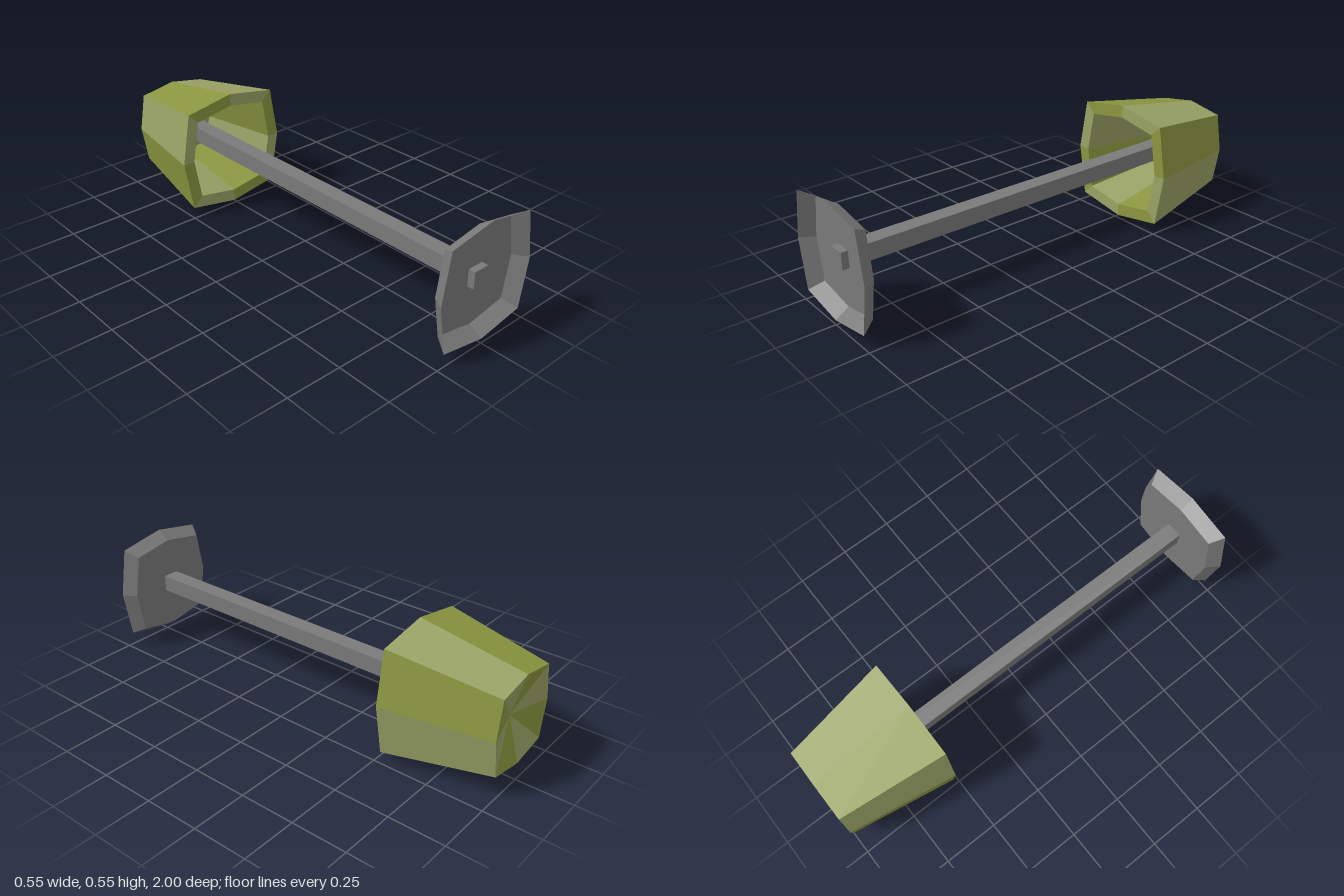
import * as THREE from 'three';

const AXIS_Y = 0.277; // height of the lamp's long axis

const mat = (name, color, side = THREE.FrontSide) => {
  const m = new THREE.MeshStandardMaterial({ color, side, flatShading: true });
  m.name = name;
  return m;
};

// Point on a bulged square: eight corners, radius r at the mid-sides
function ringPoint(i, r, z) {
  const a = (i % 8) * Math.PI / 4;
  const k = i % 2 ? 0.852 * Math.SQRT2 : 1;
  return [Math.cos(a) * r * k, Math.sin(a) * r * k, z];
}

// Sweep a [radius, z] profile around the eight sides, keeping only the sides listed
function loft(profile, sides) {
  const pos = [];
  for (const i of sides) {
    for (let s = 0; s < profile.length - 1; s++) {
      const [ra, za] = profile[s], [rb, zb] = profile[s + 1];
      const a0 = ringPoint(i, ra, za), a1 = ringPoint(i + 1, ra, za);
      const b0 = ringPoint(i, rb, zb), b1 = ringPoint(i + 1, rb, zb);
      if (rb > 0) pos.push(...a0, ...b0, ...b1);
      if (ra > 0) pos.push(...a0, ...b1, ...a1);
    }
  }
  const g = new THREE.BufferGeometry();
  g.setAttribute('position', new THREE.Float32BufferAttribute(pos, 3));
  g.computeVertexNormals();
  return g;
}

export function createModel() {
  const olive = mat('olive', 0x8a9640);
  const paleOlive = mat('paleOlive', 0x9aa366);
  const grey = mat('grey', 0x7a7a7a, THREE.DoubleSide);

  const lamp = new THREE.Group();
  lamp.name = 'lamp';
  const add = (name, geometry, material) => {
    const mesh = new THREE.Mesh(geometry, material);
    mesh.name = name;
    mesh.position.y = AXIS_Y;
    lamp.add(mesh);
    return mesh;
  };

  // Shade: inner floor, inner wall, rim, outer wall, dented back
  const shade = [[0, -0.91], [0.15, -0.91], [0.22, -0.52], [0.277, -0.52], [0.199, -1], [0, -0.945]];
  add('shadeOlivePanels', loft(shade, [0, 2, 4, 6]), olive);
  add('shadePalePanels', loft(shade, [1, 3, 5, 7]), paleOlive);

  // Base: thin open dish
  add('base', loft([[0.257, 1], [0.219, 0.94], [0, 0.94]], [0, 1, 2, 3, 4, 5, 6, 7]), grey);

  // Square pole, poking through the base
  const pole = add('pole', new THREE.BoxGeometry(0.075, 0.075, 1.89), grey);
  pole.position.set(0, AXIS_Y + 0.004, 0.025);

  return lamp;
}
